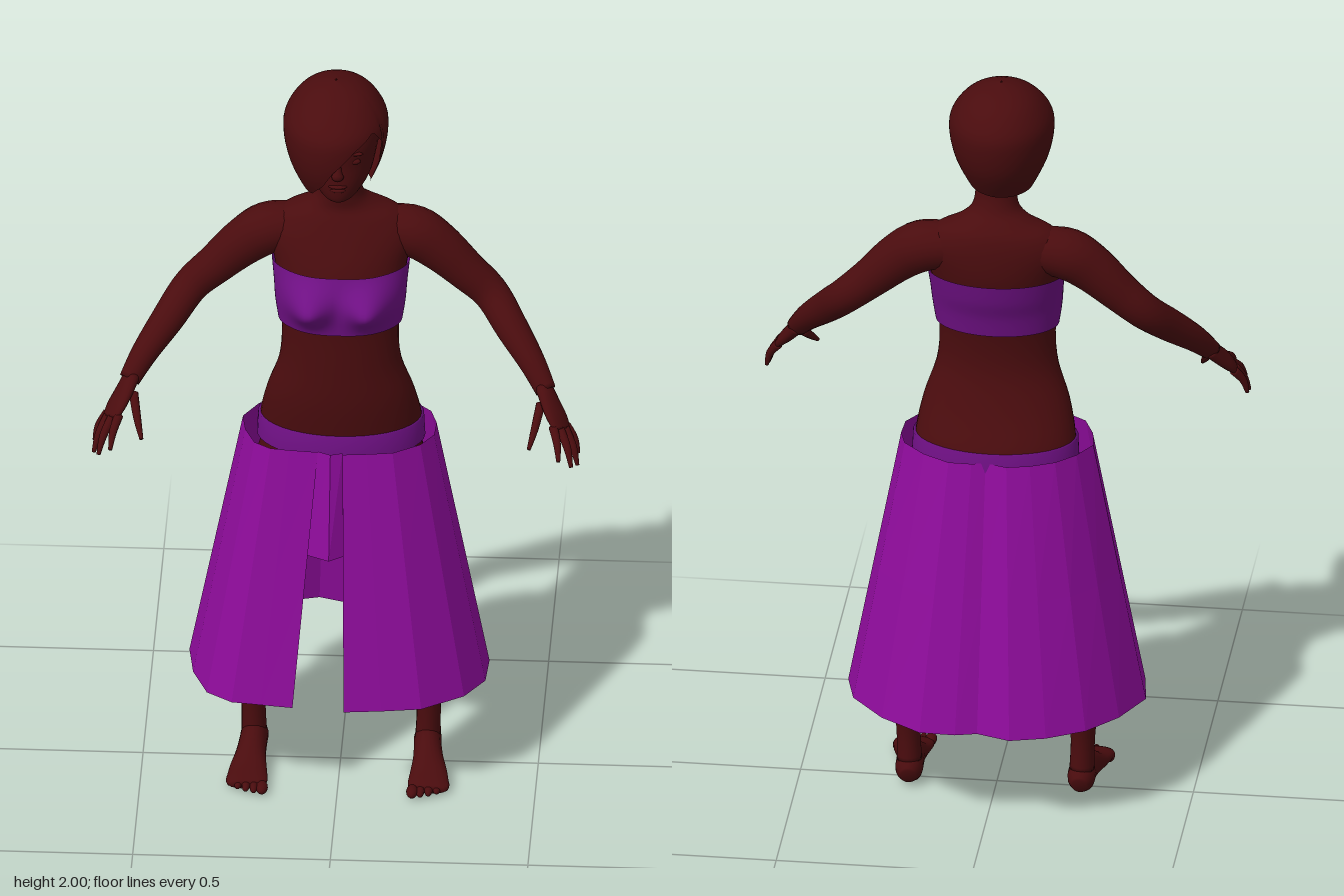
import * as THREE from 'three';

const skin = new THREE.MeshStandardMaterial({ color: 0x4a0c0e, side: THREE.DoubleSide });
skin.name = 'dark brown skin';
const cloth = new THREE.MeshStandardMaterial({ color: 0x8f0c9c, side: THREE.DoubleSide, flatShading: true });
cloth.name = 'bright purple cloth';
const wrap = new THREE.MeshStandardMaterial({ color: 0x6f1084, side: THREE.DoubleSide });
wrap.name = 'deep purple cloth';

const V = (x, y, z) => new THREE.Vector3(x, y, z);

// Catmull-Rom through rows of numbers, at u in 0..1
function sample(rows, u) {
  const f = Math.min(Math.max(u, 0), 1) * (rows.length - 1);
  const i = Math.min(Math.floor(f), rows.length - 2), t = f - i;
  const row = k => rows[Math.min(Math.max(k, 0), rows.length - 1)];
  return rows[i].map((b, k) => {
    const a = row(i - 1)[k], c = row(i + 1)[k], d = row(i + 2)[k];
    return b + 0.5 * t * (c - a + t * (2 * a - 5 * b + 4 * c - d + t * (3 * (b - c) + d - a)));
  });
}
const smooth = (rows, n) => Array.from({ length: n + 1 }, (_, i) => sample(rows, i / n));

// Skin a surface over rings of points, running bottom to top
function skinRings(name, rings, mat, closed = true, caps = true) {
  if (caps) {
    const mid = r => r.map(() => r.reduce((s, p) => s.add(p), V(0, 0, 0)).multiplyScalar(1 / r.length));
    rings = [mid(rings[0]), ...rings, mid(rings[rings.length - 1])];
  }
  const n = rings[0].length, index = [];
  for (let i = 0; i < rings.length - 1; i++)
    for (let j = 0; j < (closed ? n : n - 1); j++) {
      const a = i * n + j, b = i * n + (j + 1) % n;
      index.push(a, b, b + n, a, b + n, a + n);
    }
  const geo = new THREE.BufferGeometry().setFromPoints(rings.flat());
  geo.setIndex(index);
  geo.computeVertexNormals();
  const mesh = new THREE.Mesh(geo, mat);
  mesh.name = name;
  return mesh;
}

// Point on a level section [y, half width, front z, back z]
function around([y, w, zf, zb], a) {
  const side = (zf + zb) / 2, r = (zf - zb) / 2;
  return V(Math.sin(a) * w, y, side + Math.cos(a) * r);
}
const TURN = Math.PI * 2;
const ring = (sec, n = 40) => Array.from({ length: n }, (_, j) => around(sec, j / n * TURN));

// Tube along [x, y, z, radius along ref, radius across]
function limb(name, rows, ref, steps = 20, n = 18) {
  const pts = smooth(rows, steps);
  const at = i => V(...pts[Math.min(Math.max(i, 0), steps)].slice(0, 3));
  return skinRings(name, pts.map((p, i) => {
    const T = at(i + 1).sub(at(i - 1)).normalize();
    const A = ref.clone().addScaledVector(T, -ref.dot(T)).normalize();
    const B = T.clone().cross(A);
    return Array.from({ length: n }, (_, j) => at(i)
      .addScaledVector(A, p[3] * Math.cos(j / n * TURN))
      .addScaledVector(B, p[4] * Math.sin(j / n * TURN)));
  }), skin);
}

function ball(name, x, y, z, sx, sy, sz) {
  const m = new THREE.Mesh(new THREE.SphereGeometry(1, 16, 12), skin);
  m.position.set(x, y, z);
  m.scale.set(sx, sy, sz);
  m.name = name;
  return m;
}

function makeTorso() {
  return skinRings('torso', smooth([
    [0.86, 0.14, 0.06, -0.12], [0.93, 0.2, 0.09, -0.158], [1.0, 0.205, 0.1, -0.155], [1.1, 0.186, 0.11, -0.11],
    [1.2, 0.154, 0.11, -0.08], [1.3, 0.148, 0.108, -0.082], [1.4, 0.158, 0.11, -0.105], [1.48, 0.17, 0.092, -0.125],
    [1.55, 0.185, 0.062, -0.127], [1.6, 0.155, 0.038, -0.118], [1.63, 0.095, 0.024, -0.1],
    [1.66, 0.06, 0.025, -0.075], [1.71, 0.052, 0.03, -0.062], [1.78, 0.052, 0.03, -0.07]], 56).map(s => ring(s)), skin);
}

// Strapless top, swelling at both sides of the front
function makeTop() {
  const rows = smooth([[1.315, 0.157, 0.113, -0.088], [1.37, 0.165, 0.117, -0.1], [1.42, 0.169, 0.115, -0.118], [1.475, 0.175, 0.1, -0.131]], 20);
  return skinRings('strapless top', rows.map(s => ring(s, 72).map(p => {
    if (p.z > 0) {
      const d = ((Math.abs(p.x) - 0.078) / 0.05) ** 2 + ((p.y - 1.395) / 0.048) ** 2;
      p.z += 0.062 * Math.exp(-d);
    }
    return p;
  })), wrap, true, false);
}

function makeHead() {
  const g = new THREE.Group();
  g.name = 'head';
  g.add(skinRings('face', smooth([
    [1.716, 0.025, 0.125, 0.02], [1.73, 0.05, 0.14, -0.02], [1.77, 0.078, 0.146, -0.07], [1.82, 0.092, 0.144, -0.1],
    [1.88, 0.1, 0.142, -0.12], [1.94, 0.085, 0.105, -0.1], [1.975, 0.04, 0.04, -0.05]], 28).map(s => ring(s)), skin));
  g.add(limb('nose', [[0, 1.85, 0.138, 0.007, 0.008], [0, 1.82, 0.146, 0.01, 0.01], [0, 1.805, 0.148, 0.013, 0.016], [0, 1.797, 0.142, 0.006, 0.01]], V(0, 0, 1), 8, 12));
  g.add(ball('upper lip', 0, 1.773, 0.142, 0.024, 0.006, 0.009), ball('lower lip', 0, 1.762, 0.14, 0.02, 0.007, 0.01));
  for (const s of [1, -1]) {
    g.add(ball('eye', s * 0.04, 1.84, 0.126, 0.017, 0.009, 0.009));
    g.add(ball('brow', s * 0.042, 1.862, 0.127, 0.022, 0.005, 0.008));
  }
  // Bob with a fringe swept across the face; the hem height varies with the angle
  const hem = [[-180, 1.71], [-90, 1.71], [-40, 1.72], [-14, 1.77], [0, 1.82], [25, 1.88], [50, 1.91], [64, 1.87], [72, 1.735], [100, 1.72], [180, 1.71]];
  const hemAt = d => {
    const k = hem.findIndex(h => h[0] >= d), [b, a] = [hem[k], hem[Math.max(k - 1, 0)]];
    return b === a ? b[1] : a[1] + (b[1] - a[1]) * (d - a[0]) / (b[0] - a[0]);
  };
  const shape = smooth([
    [1.7, 0.075, 0.1, -0.075], [1.75, 0.1, 0.135, -0.112], [1.8, 0.12, 0.155, -0.14], [1.86, 0.132, 0.162, -0.155],
    [1.91, 0.128, 0.152, -0.153], [1.96, 0.095, 0.1, -0.118], [1.988, 0.052, 0.045, -0.068], [2.0, 0.002, 0, -0.01]], 80);
  const rings = Array.from({ length: 25 }, (_, i) => Array.from({ length: 90 }, (_, j) => {
    const d = j * 4 - 180, y0 = hemAt(d), t = i / 24;
    const y = y0 + (2.0 - y0) * (1 - (1 - t) ** 1.6);
    const k = Math.min(Math.max(shape.findIndex(s => s[0] >= y - 1e-9), 1), 80), a = shape[k - 1], b = shape[k];
    const f = Math.min(Math.max((y - a[0]) / (b[0] - a[0]), 0), 1);
    const p = around(a.map((v, m) => v + (b[m] - v) * f), d * Math.PI / 180);
    p.x -= 0.012;
    return p;
  }));
  g.add(skinRings('bobbed hair', rings, skin, true, false));
  return g;
}

function makeArm(s) {
  const g = new THREE.Group();
  g.name = s > 0 ? 'leftArm' : 'rightArm';
  const flip = rows => rows.map(([x, ...r]) => [s * x, ...r]);
  g.add(limb('arm', flip([
    [0.09, 1.55, -0.045, 0.055, 0.055], [0.18, 1.54, -0.04, 0.066, 0.066], [0.245, 1.5, -0.035, 0.058, 0.062],
    [0.315, 1.435, -0.03, 0.05, 0.052], [0.38, 1.375, -0.018, 0.045, 0.046], [0.435, 1.31, 0.04, 0.042, 0.042],
    [0.49, 1.245, 0.1, 0.034, 0.034], [0.527, 1.19, 0.145, 0.022, 0.027]]), V(0, 0, 1), 32));
  const across = V(s * -0.45, 0.3, 0.85);
  g.add(limb('palm', flip([[0.52, 1.2, 0.137, 0.025, 0.02], [0.54, 1.167, 0.168, 0.036, 0.018],
    [0.558, 1.14, 0.195, 0.041, 0.016], [0.572, 1.118, 0.215, 0.036, 0.011]]), across, 12));
  const fingers = [
    [0.515, 1.165, 0.17, 0.503, 1.125, 0.225, 0.49, 1.09, 0.27],
    [0.55, 1.132, 0.228, 0.562, 1.11, 0.273, 0.567, 1.08, 0.31],
    [0.565, 1.125, 0.216, 0.587, 1.09, 0.257, 0.598, 1.05, 0.286],
    [0.578, 1.117, 0.203, 0.6, 1.077, 0.228, 0.612, 1.033, 0.245],
    [0.58, 1.115, 0.185, 0.602, 1.083, 0.198, 0.612, 1.045, 0.204]];
  fingers.forEach((f, i) => g.add(limb(i ? 'finger' : 'thumb', flip([
    [...f.slice(0, 3), 0.012, 0.012], [...f.slice(3, 6), 0.01, 0.01], [...f.slice(6), 0.005, 0.005]]), across, 8, 10)));
  return g;
}

function makeLeg(s) {
  const g = new THREE.Group();
  g.name = s > 0 ? 'leftLeg' : 'rightLeg';
  const flip = rows => rows.map(([x, ...r]) => [s * x, ...r]);
  g.add(limb('leg', flip([
    [0.1, 0.96, -0.03, 0.1, 0.09], [0.125, 0.85, -0.03, 0.1, 0.095], [0.165, 0.7, -0.02, 0.08, 0.078],
    [0.195, 0.54, -0.01, 0.056, 0.055], [0.208, 0.46, -0.015, 0.052, 0.05], [0.218, 0.36, -0.035, 0.055, 0.049],
    [0.223, 0.28, -0.03, 0.049, 0.042], [0.222, 0.16, -0.026, 0.036, 0.031], [0.22, 0.07, -0.026, 0.038, 0.032]]), V(0, 0, 1), 36, 20));
  g.add(limb('foot', flip([
    [0.218, 0.036, -0.068, 0.022, 0.02], [0.219, 0.044, -0.045, 0.04, 0.034], [0.22, 0.052, 0, 0.048, 0.035],
    [0.224, 0.042, 0.05, 0.037, 0.038], [0.228, 0.028, 0.1, 0.023, 0.047], [0.229, 0.021, 0.145, 0.016, 0.052],
    [0.228, 0.018, 0.17, 0.011, 0.046]]), V(0, 1, 0), 20));
  for (let i = 0; i < 5; i++)
    g.add(ball('toe', s * (0.19 + i * 0.0205), 0.017, 0.178 - i * i * 0.0022, i ? 0.0105 : 0.015, i ? 0.011 : 0.014, 0.026));
  return g;
}

// Flared skirt, open at the front, with a short folded flap over the slit
function makeSkirt() {
  const g = new THREE.Group();
  g.name = 'skirt';
  const hem = [[0.02, 0.245], [0.115, 0.235], [0.215, 0.22], [0.32, 0.15], [0.37, 0.07], [0.375, -0.03], [0.35, -0.13],
    [0.265, -0.23], [0.16, -0.3], [0.07, -0.302], [0.015, -0.288], [-0.07, -0.316], [-0.16, -0.292], [-0.255, -0.24], [-0.33, -0.155],
    [-0.385, -0.045], [-0.37, 0.065], [-0.33, 0.165], [-0.265, 0.21], [-0.19, 0.22], [-0.11, 0.23]];
  const rings = [0, 0.5, 1].map(t => hem.map(([x, z]) =>
    V(x * (1 - 0.355 * t), 0.285 + 0.705 * t, z * (1 - (z > 0 ? 0.37 : 0.45) * t))));
  rings[2][hem.length - 1].x = -0.05;
  rings[1][hem.length - 1].x = -0.08;
  g.add(skinRings('skirt panel', rings, cloth, false, false));
  g.add(skinRings('front flap', [
    [V(-0.08, 0.7, 0.168), V(-0.02, 0.7, 0.197), V(0.015, 0.7, 0.172)],
    [V(-0.05, 0.99, 0.142), V(-0.018, 0.99, 0.157), V(0.012, 0.99, 0.147)]], cloth, false, false));
  g.add(skinRings('waistband', [[0.95, 0.213, 0.112, -0.165], [1.012, 0.21, 0.11, -0.16], [1.012, 0.2, 0.098, -0.15]]
    .map(s => ring(s)), wrap, true, false));
  return g;
}

export function createModel() {
  const model = new THREE.Group();
  model.name = 'woman in skirt';
  model.add(makeTorso(), makeTop(), makeHead(), makeSkirt());
  for (const s of [1, -1]) model.add(makeArm(s), makeLeg(s));
  return model;
}
